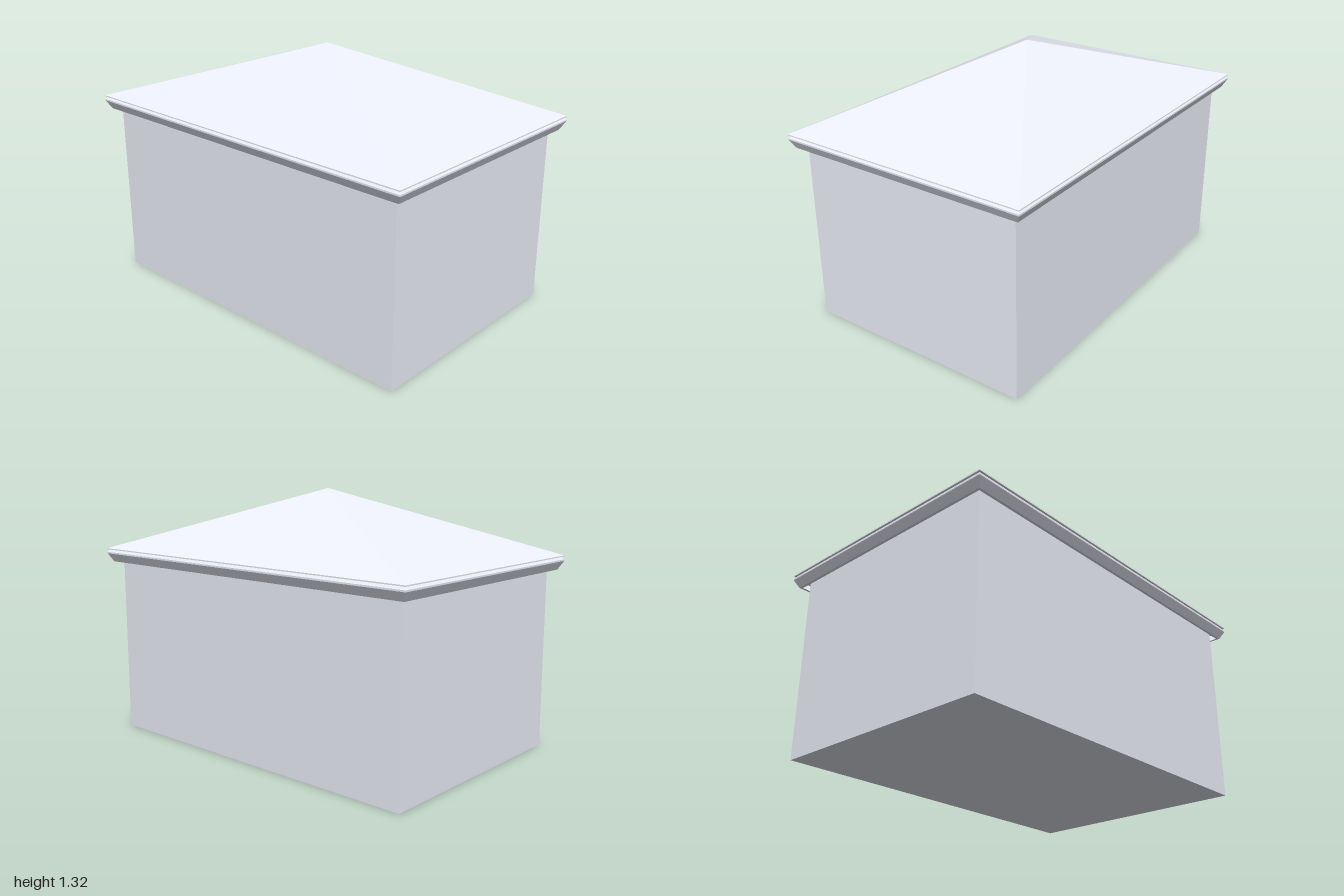
import * as THREE from 'three';

const HALF_X = 1, HALF_Z = 0.667;
const EAVES_TOP = 0.993;
const material = new THREE.MeshStandardMaterial({ color: 0xedf0fa, flatShading: true });

// Skin a stack of rectangular rings, each [halfX, y, halfZ], listed along the outward profile
function rectLoft(name, rings) {
  const corners = [[1, 1], [1, -1], [-1, -1], [-1, 1]];
  const point = ([hx, y, hz], i) => [corners[i % 4][0] * hx, y, corners[i % 4][1] * hz];
  const positions = [];
  for (let r = 0; r < rings.length - 1; r++) {
    const low = rings[r], high = rings[r + 1];
    for (let i = 0; i < 4; i++) {
      const a = point(low, i), b = point(low, i + 1), c = point(high, i + 1), d = point(high, i);
      positions.push(...a, ...b, ...c);
      if (high[0] > 0) positions.push(...a, ...c, ...d);
    }
  }
  const geometry = new THREE.BufferGeometry();
  geometry.setAttribute('position', new THREE.Float32BufferAttribute(positions, 3));
  geometry.computeVertexNormals();
  const mesh = new THREE.Mesh(geometry, material);
  mesh.name = name;
  return mesh;
}

export function createModel() {
  const model = new THREE.Group();
  model.name = 'hipRoofBuilding';

  // Plain rectangular block of walls
  const wallHeight = 0.97;
  const walls = new THREE.Mesh(new THREE.BoxGeometry(1.876, wallHeight, 1.21), material);
  walls.name = 'walls';
  walls.position.y = wallHeight / 2;
  model.add(walls);

  // Eaves moulding: [inset, height] from the recessed soffit, round the lip and up to the roof edge
  const eavesProfile = [
    [0.07, 0.963], [0.015, 0.963], [0.037, 0.921], [0.024, 0.921], [0, 0.965],
    [0, 0.973], [0.01, 0.985], [0.01, 0.987], [0, 0.987], [0, EAVES_TOP],
  ];
  model.add(rectLoft('eavesMoulding',
    eavesProfile.map(([inset, y]) => [HALF_X - inset, y, HALF_Z - inset])));

  // Four slopes meeting at one central peak
  model.add(rectLoft('roof', [[HALF_X, EAVES_TOP, HALF_Z], [0, 1.322, 0]]));

  return model;
}
